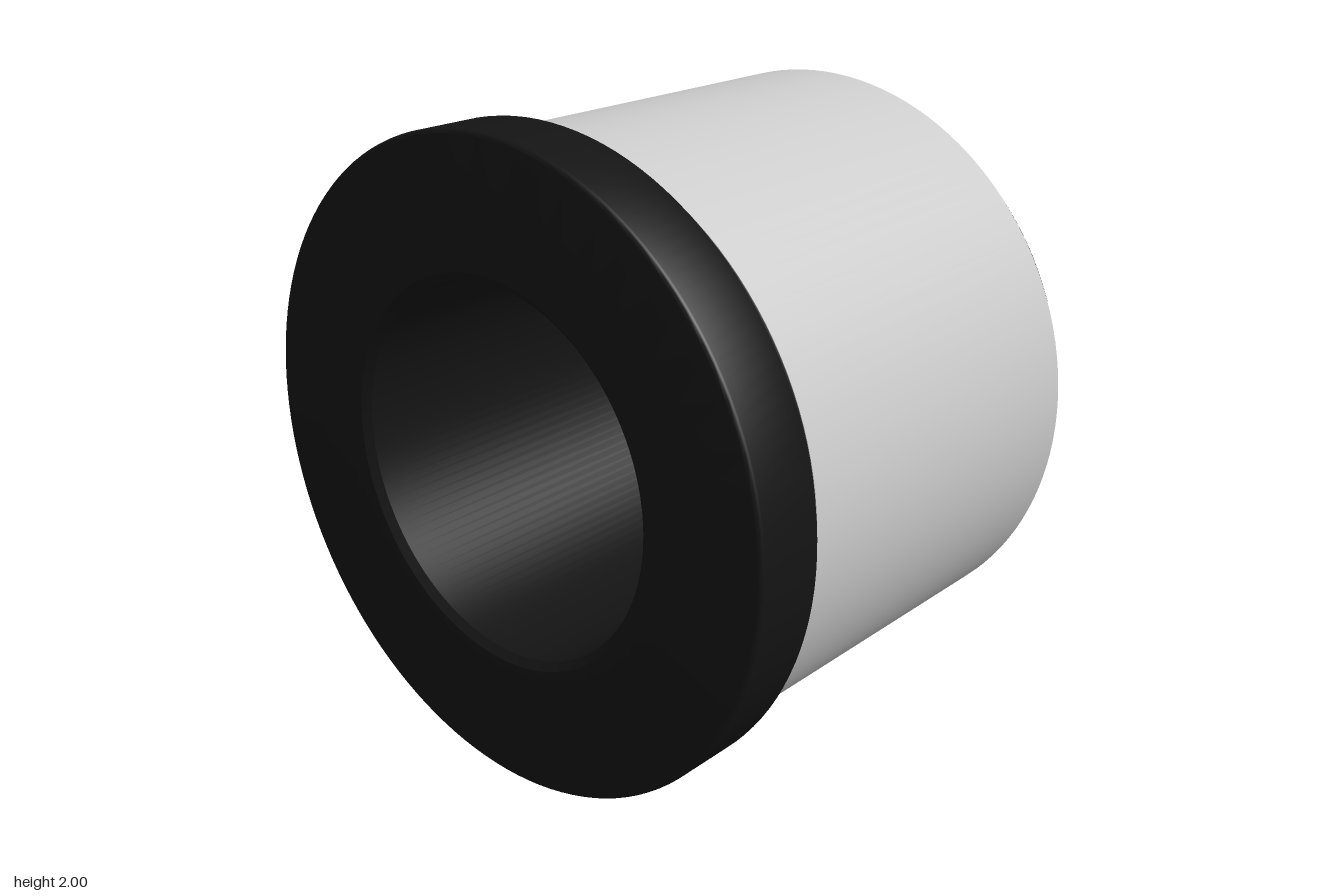
import * as THREE from 'three';
import { toCreasedNormals } from 'three/addons/utils/BufferGeometryUtils.js';

// Points of an elliptical arc in the profile plane: [radius, position along the axis]
function arc(r, x, sizeR, sizeX, from, to, steps = 6) {
  return Array.from({ length: steps + 1 }, (_, i) => {
    const a = THREE.MathUtils.degToRad(from + (to - from) * i / steps);
    return [r + sizeR * Math.cos(a), x + sizeX * Math.sin(a)];
  });
}

// Closed profile turned about the x axis
function turned(name, profile, color) {
  const points = [...profile, profile[0]].map(([r, x]) => new THREE.Vector2(r, x));
  const lathe = new THREE.LatheGeometry(points, 128).rotateZ(-Math.PI / 2);
  const geometry = toCreasedNormals(lathe, THREE.MathUtils.degToRad(26));
  const mesh = new THREE.Mesh(geometry, new THREE.MeshStandardMaterial({ color }));
  mesh.name = name;
  mesh.position.y = 1;
  return mesh;
}

export function createModel() {
  const group = new THREE.Group();
  group.name = 'flangedBushing';

  // Rubber core: flange, seat under the sleeve, bevelled end, rounded lip, wide bore
  group.add(turned('rubberCore', [
    [0.6, -0.785],
    ...arc(0.985, -0.77, 0.015, 0.015, -90, 0, 4),
    ...arc(0.975, -0.57, 0.025, 0.025, 0, 90),
    ...arc(0.975, -0.515, 0.025, 0.03, 270, 180),
    [0.95, -0.5],
    [0.91, -0.5],
    [0.91, 0.735],
    [0.95, 0.735],
    [0.92, 0.785],
    ...arc(0.585, 0.665, 0.12, 0.12, 90, 180, 10),
    [0.465, 0.56],
    [0.575, 0.56],
    [0.575, -0.765],
  ], 0x141414));

  // Metal sleeve around the core
  group.add(turned('metalSleeve', [
    [0.952, -0.5],
    [0.952, 0.735],
    [0.912, 0.735],
    [0.912, -0.5],
  ], 0xcccccc));

  return group;
}
